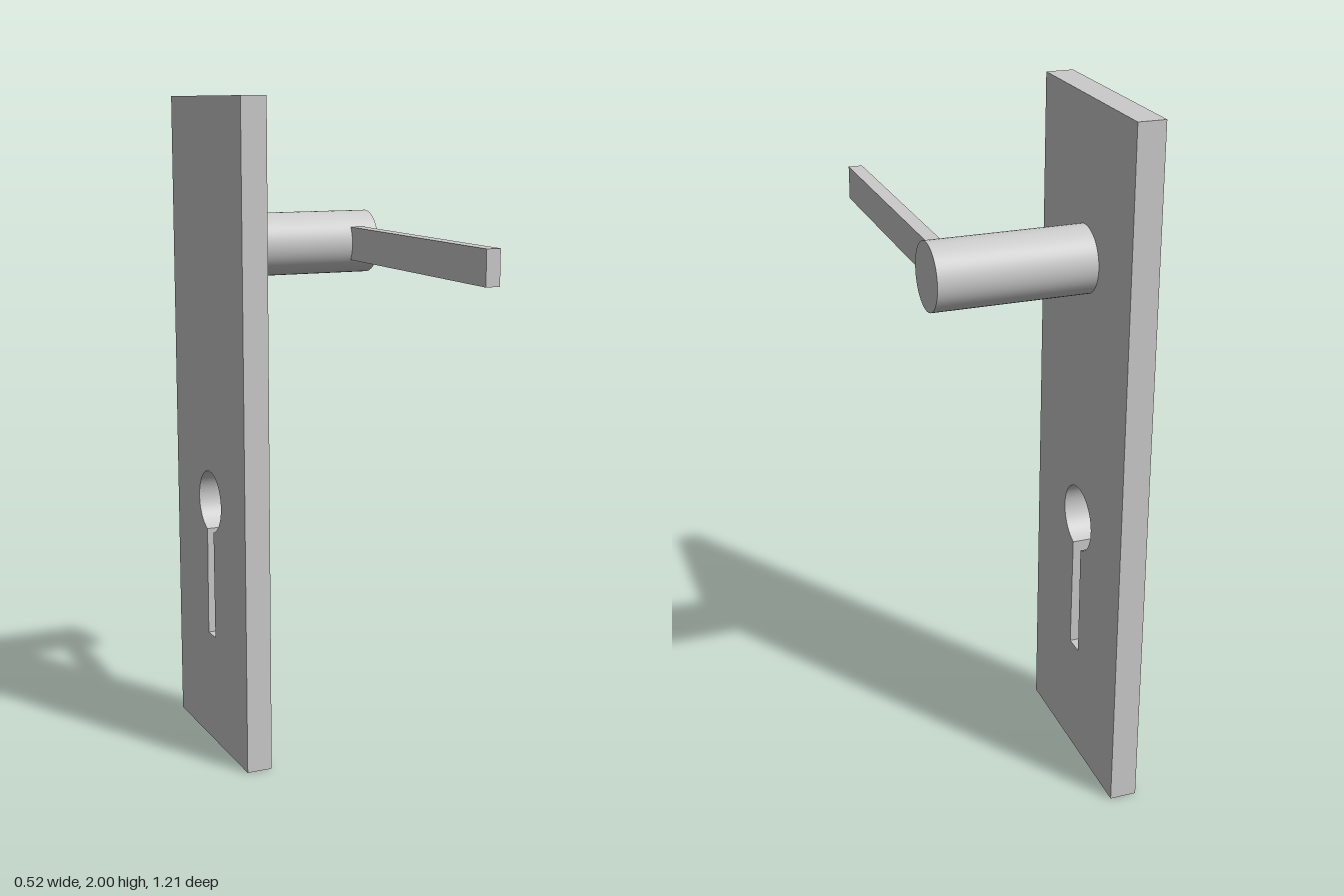
import * as THREE from 'three';

const material = new THREE.MeshStandardMaterial({ color: 0xcccccc });
const AXIS_Z = -0.309; // centre line of plate, spindle and keyhole
const PLATE = { back: -0.264, front: -0.186, width: 0.597, height: 2 };

function addPart(group, name, geometry, x, y, z) {
  const mesh = new THREE.Mesh(geometry, material);
  mesh.name = name;
  mesh.position.set(x, y, z);
  group.add(mesh);
}

// Round hole running into a slightly flared slot, drawn as one outline
function keyholePath(y, radius, slotTop, slotBottom, bottomY) {
  const start = Math.asin(slotTop / radius);
  const path = new THREE.Path();
  path.moveTo(-slotBottom, bottomY);
  path.lineTo(slotBottom, bottomY);
  path.absarc(0, y, radius, -Math.PI / 2 + start, Math.PI * 1.5 - start, false);
  path.closePath();
  return path;
}

export function createModel() {
  const group = new THREE.Group();
  group.name = 'doorHandle';

  // Back plate with keyhole, extruded and turned to face +x
  const w = PLATE.width / 2;
  const outline = new THREE.Shape([
    new THREE.Vector2(-w, 0),
    new THREE.Vector2(w, 0),
    new THREE.Vector2(w, PLATE.height),
    new THREE.Vector2(-w, PLATE.height),
  ]);
  outline.holes.push(keyholePath(0.775, 0.096, 0.027, 0.03, 0.345));
  const plate = new THREE.ExtrudeGeometry(outline, {
    depth: PLATE.front - PLATE.back,
    bevelEnabled: false,
    curveSegments: 40,
  });
  plate.rotateY(Math.PI / 2);
  addPart(group, 'backPlate', plate, PLATE.back, 0, AXIS_Z);

  // Round spindle standing out from the plate
  const length = 0.26 - PLATE.front;
  const spindle = new THREE.CylinderGeometry(0.095, 0.095, length, 48);
  spindle.rotateZ(-Math.PI / 2);
  addPart(group, 'spindle', spindle, PLATE.front + length / 2, 1.56, AXIS_Z);

  // Flat lever, its root sunk just into the spindle
  const root = -0.232, tip = 0.607;
  const lever = new THREE.BoxGeometry(0.042, 0.1, tip - root);
  addPart(group, 'lever', lever, 0.195, 1.56, (root + tip) / 2);

  return group;
}
